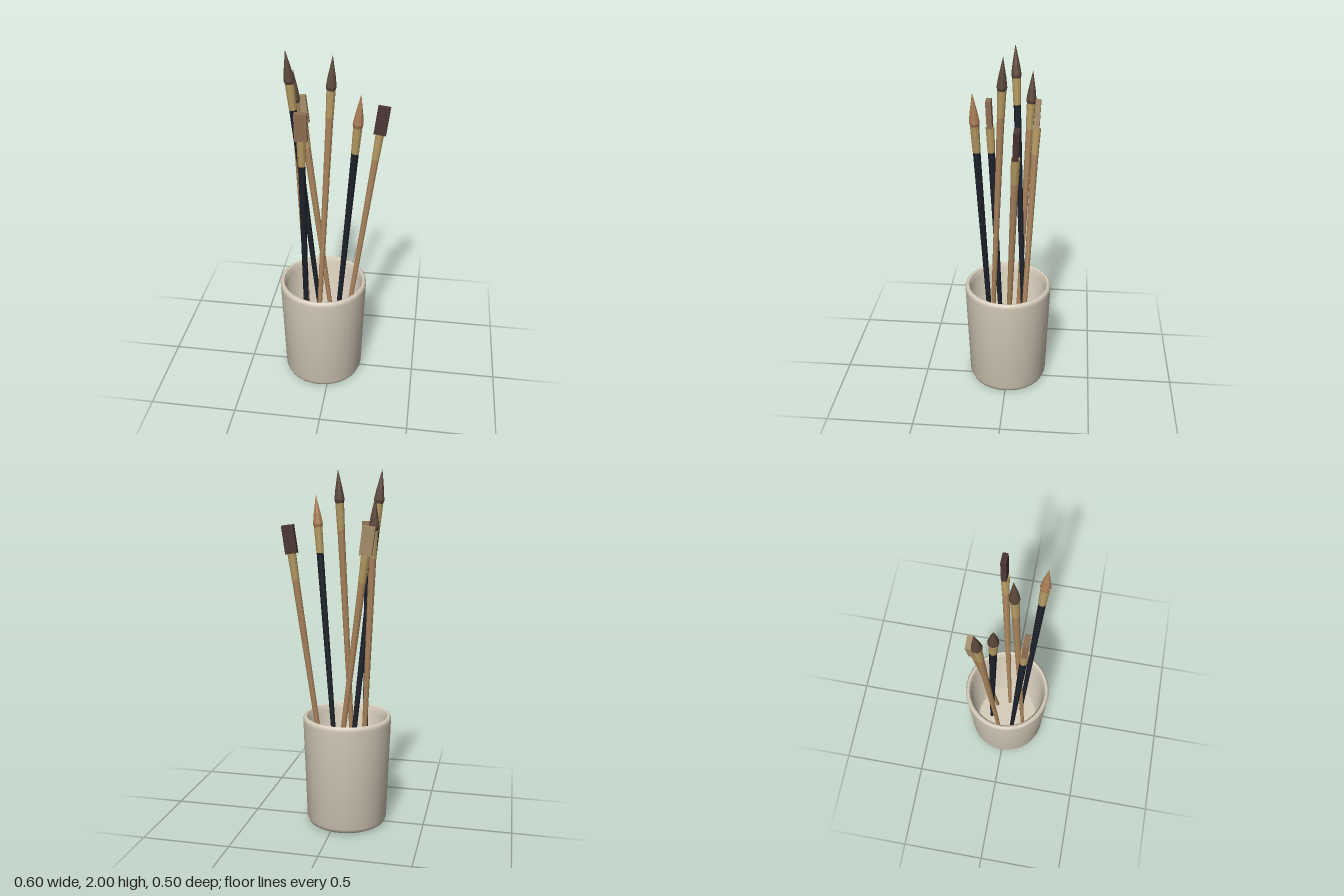
import * as THREE from 'three';
import { toCreasedNormals } from 'three/addons/utils/BufferGeometryUtils.js';

const V2 = (x, y) => new THREE.Vector2(x, y);
const paint = (color, flatShading = false) => new THREE.MeshStandardMaterial({ color, flatShading });

const WOOD = paint(0xa8835c, true);
const BLACK = paint(0x1d212a, true);
const FERRULE = paint(0xb59a63, true);
const SIDES = 10;
const FERRULE_LENGTH = 0.145;

function part(name, geometry, material, y = 0) {
  const mesh = new THREE.Mesh(geometry, material);
  mesh.name = name;
  mesh.position.y = y;
  return mesh;
}

// Tapered cup with a chamfered foot, a rounded rim and a hollow inside
function makeCup() {
  const profile = [
    [0, 0], [0.208, 0], [0.222, 0.008], [0.231, 0.03], [0.251, 0.605],
    [0.252, 0.618], [0.248, 0.63], [0.24, 0.636], [0.23, 0.633],
    [0.226, 0.622], [0.218, 0.6], [0.202, 0.06], [0.19, 0.04], [0, 0.04],
  ].map(([r, y]) => V2(r, y));
  const cup = part('cup', toCreasedNormals(new THREE.LatheGeometry(profile, 32), 0.75), paint(0xd6ccba));
  cup.position.x = -0.05;
  return cup;
}

// Brush built upright along y, then leaned from its foot to its tip
function makeBrush({ name, foot, tip, handle, hair, flat }) {
  const start = new THREE.Vector3(...foot);
  const axis = new THREE.Vector3(...tip).sub(start);
  const headLength = flat ? 0.155 : 0.18;
  const handleLength = axis.length() - headLength - FERRULE_LENGTH;
  const headY = handleLength + FERRULE_LENGTH;

  const brush = new THREE.Group();
  brush.name = name;
  brush.add(part('handle',
    new THREE.CylinderGeometry(0.02, 0.011, handleLength, SIDES), handle, handleLength / 2));
  brush.add(part('ferrule',
    new THREE.CylinderGeometry(0.024, 0.021, FERRULE_LENGTH, SIDES), FERRULE,
    handleLength + FERRULE_LENGTH / 2));

  const bristle = paint(hair, true);
  if (flat) {
    brush.add(part('flatBristles',
      new THREE.BoxGeometry(0.067, headLength, 0.03), bristle, headY + headLength / 2));
  } else {
    const profile = [V2(0, 0), V2(0.023, 0), V2(0.028, 0.018), V2(0.02, 0.075), V2(0, headLength)];
    brush.add(part('pointedBristles', new THREE.LatheGeometry(profile, SIDES), bristle, headY));
  }

  brush.position.copy(start);
  brush.quaternion.setFromUnitVectors(new THREE.Vector3(0, 1, 0), axis.normalize());
  return brush;
}

export function createModel() {
  const model = new THREE.Group();
  model.name = 'brushCup';
  model.add(makeCup());

  const DARK = 0x5c483b;
  const brushes = [
    { name: 'centreRoundBrush', foot: [-0.08, 0.045, 0.108], tip: [0.008, 2, 0.02], handle: WOOD, hair: DARK },
    { name: 'tallBlackRoundBrush', foot: [-0.06, 0.045, -0.105], tip: [-0.241, 2, -0.023], handle: BLACK, hair: DARK },
    { name: 'backRoundBrush', foot: [-0.14, 0.045, -0.04], tip: [-0.222, 1.865, -0.12], handle: WOOD, hair: DARK },
    { name: 'paleRoundBrush', foot: [0.015, 0.045, 0.08], tip: [0.167, 1.86, 0.16], handle: BLACK, hair: 0xab7f58 },
    { name: 'frontFlatBrush', foot: [-0.145, 0.045, 0.04], tip: [-0.145, 1.72, 0.114], handle: BLACK, hair: 0x8f6f54, flat: true },
    { name: 'leaningFlatBrush', foot: [0.052, 0.045, 0], tip: [0.267, 1.705, -0.07], handle: WOOD, hair: 0x4b3631, flat: true },
    { name: 'backFlatBrush', foot: [0.02, 0.045, -0.08], tip: [-0.197, 1.71, -0.153], handle: WOOD, hair: 0xa68d69, flat: true },
  ];
  for (const spec of brushes) model.add(makeBrush(spec));
  return model;
}
